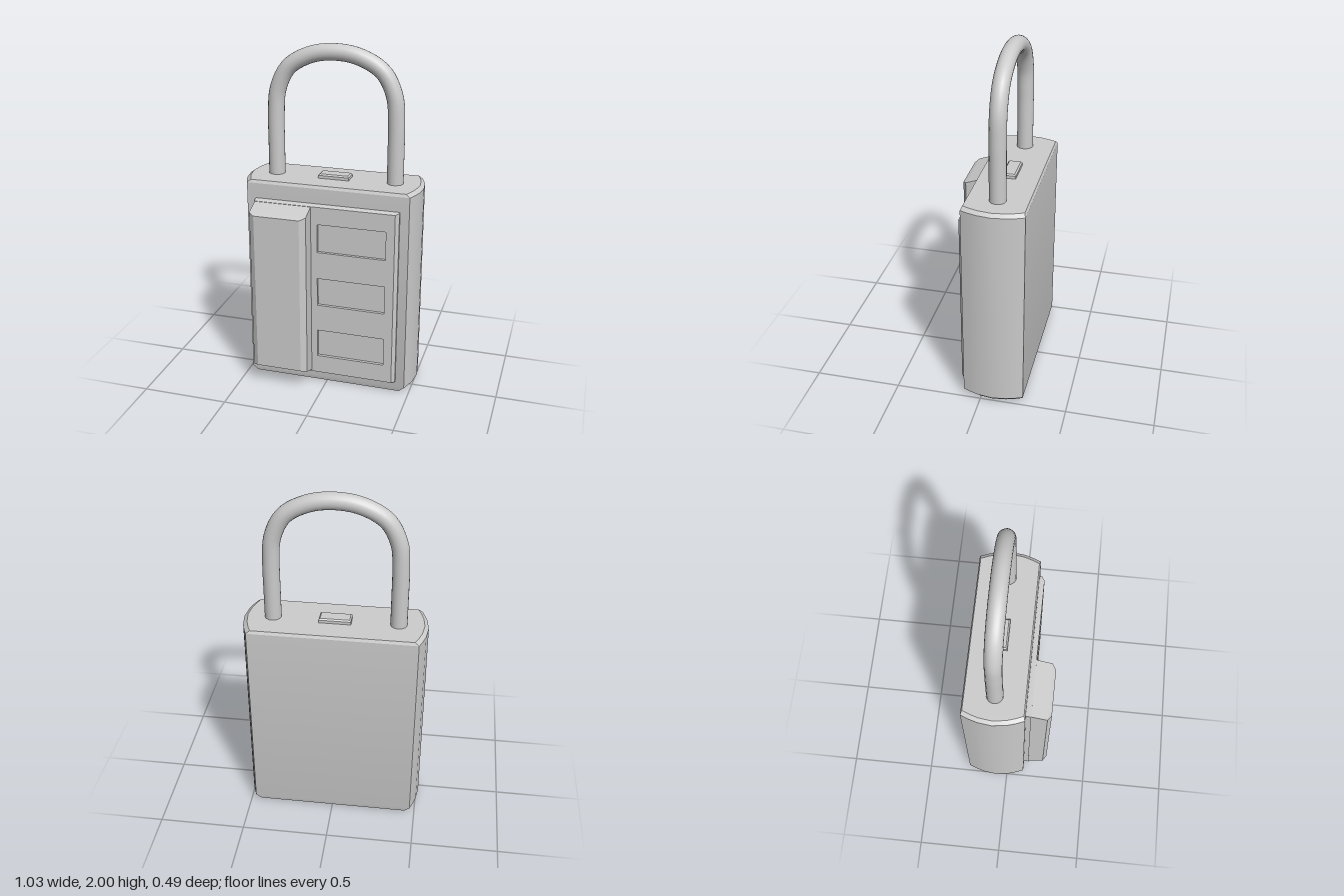
import * as THREE from 'three';
import { toCreasedNormals } from 'three/addons/utils/BufferGeometryUtils.js';
import { ConvexGeometry } from 'three/addons/geometries/ConvexGeometry.js';

const material = new THREE.MeshStandardMaterial({ color: 0xcccccc });
const MID_Z = -0.07; // middle of the body, front to back

function part(name, geometry) {
  const mesh = new THREE.Mesh(geometry, material);
  mesh.name = name;
  return mesh;
}

const v = (x, y, z) => new THREE.Vector3(x, y, z);

// Counter-clockwise rectangle
function rectangle(path, x0, y0, x1, y1) {
  path.moveTo(x0, y0);
  path.lineTo(x1, y0);
  path.lineTo(x1, y1);
  path.lineTo(x0, y1);
  path.closePath();
  return path;
}

// Case with bowed sides, slightly chamfered at top and bottom
function createBody() {
  const side = [[0.472, 0.175], [0.49, 0.13], [0.505, 0.08], [0.515, 0],
    [0.505, -0.08], [0.49, -0.13], [0.472, -0.175]];
  const levels = [[0, 0.03, 0.008], [0.03, 0, 0], [1.218, 0, 0], [1.235, 0.022, 0.008]];
  const points = [];
  for (const [y, insetX, insetZ] of levels) {
    for (const [x, z] of side) {
      for (const s of [-1, 1]) {
        points.push(v(s * (x - insetX), y, MID_Z + z * (1 - insetZ / 0.175)));
      }
    }
  }
  return part('body', toCreasedNormals(new ConvexGeometry(points), 0.4));
}

// Front plate with window openings and a bevelled right and top edge
function createPanel() {
  const group = new THREE.Group();
  group.name = 'frontPanel';
  const depth = 0.03;
  const shape = rectangle(new THREE.Shape(), -0.42, 0.07, 0.42, 1.13);
  for (let i = 0; i < 3; i++) {
    const y = 0.18 + i * 0.333;
    shape.holes.push(rectangle(new THREE.Path(), -0.048, y, 0.35, y + 0.17));
    const floor = part('windowFloor', new THREE.BoxGeometry(0.41, 0.18, 0.02));
    floor.position.set(0.151, y + 0.085, 0.106);
    group.add(floor);
  }
  const geometry = new THREE.ExtrudeGeometry(shape, { depth, steps: 2, bevelEnabled: false });
  const p = geometry.attributes.position;
  for (let i = 0; i < p.count; i++) {
    if (p.getZ(i) < depth - 0.001) continue;
    if (p.getX(i) > 0.41) p.setX(i, 0.4);
    if (p.getY(i) > 1.12) p.setY(i, 1.12);
  }
  geometry.computeVertexNormals();
  const plate = part('panelPlate', geometry);
  plate.position.z = 0.104;
  group.add(plate);
  return group;
}

// Raised grip with sloped ends and chamfered long edges
function createGrip() {
  const points = [];
  const sections = [ // z, left, right, bottom, top
    [0.12, -0.417, -0.085, 0.075, 1.123],
    [0.225, -0.417, -0.085, 0.115, 1.085],
    [0.247, -0.385, -0.118, 0.125, 1.073]
  ];
  for (const [z, x0, x1, y0, y1] of sections) {
    points.push(v(x0, y0, z), v(x1, y0, z), v(x1, y1, z), v(x0, y1, z));
  }
  return part('grip', toCreasedNormals(new ConvexGeometry(points), 0.1));
}

// Round bar bent into a loop
function createShackle() {
  const half = [[0.35, 1.2], [0.35, 1.4], [0.349, 1.58], [0.335, 1.73], [0.27, 1.857], [0.14, 1.932]];
  const points = [
    ...half.map(([x, y]) => v(-x, y, MID_Z)),
    v(0, 1.953, MID_Z),
    ...half.slice().reverse().map(([x, y]) => v(x, y, MID_Z))
  ];
  return part('shackle', new THREE.TubeGeometry(new THREE.CatmullRomCurve3(points), 64, 0.047, 20));
}

// Small release button with bevelled top
function createButton() {
  const points = [];
  for (const [y, x, z] of [[1.22, 0.09, 0.04], [1.252, 0.09, 0.04], [1.26, 0.082, 0.032]]) {
    for (const sx of [-1, 1]) for (const sz of [-1, 1]) points.push(v(sx * x, y, MID_Z + sz * z));
  }
  return part('releaseButton', toCreasedNormals(new ConvexGeometry(points), 0.2));
}

export function createModel() {
  const model = new THREE.Group();
  model.name = 'padlockBox';
  model.add(createBody(), createPanel(), createGrip(), createShackle(), createButton());
  return model;
}
